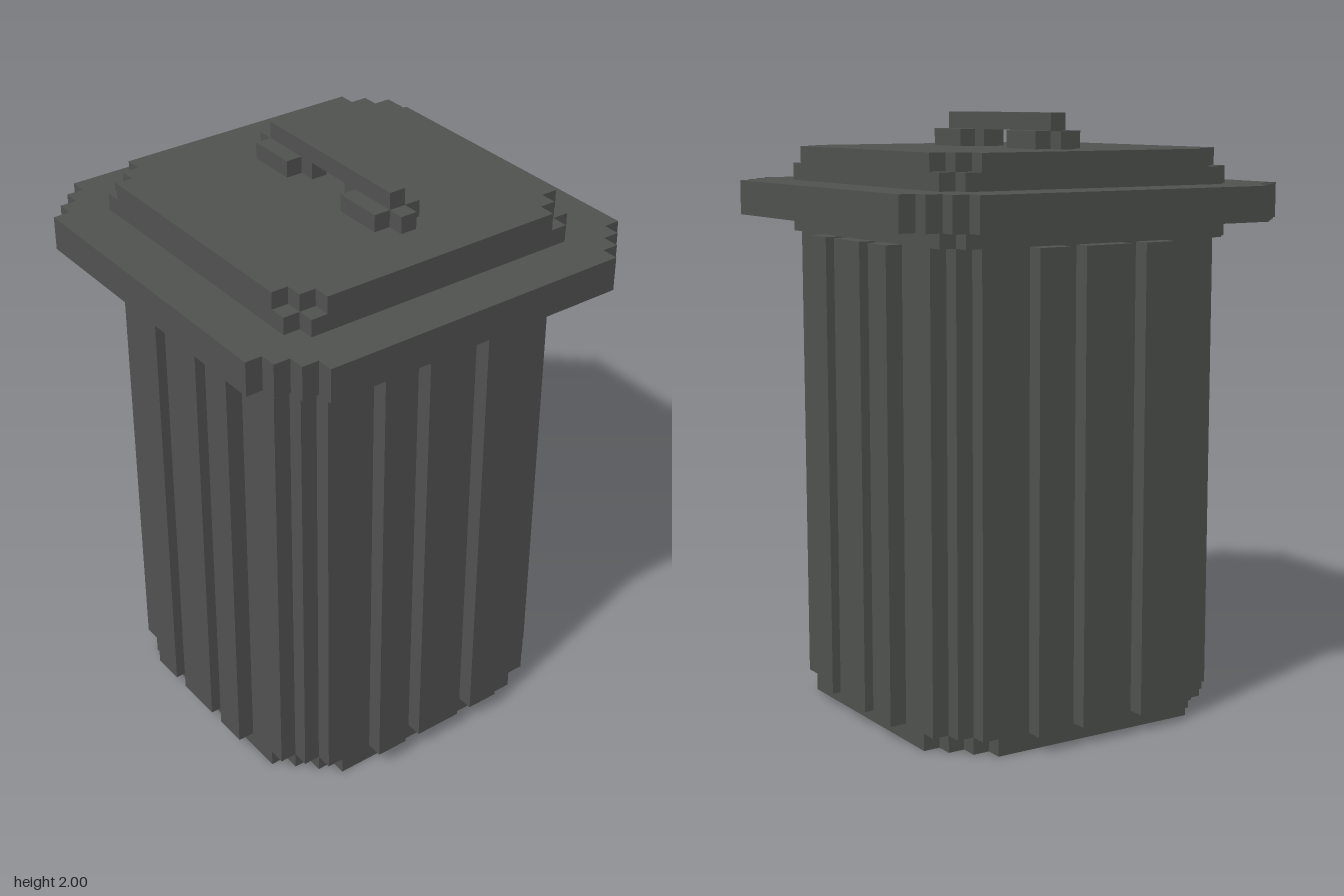
import * as THREE from 'three';

const U = 2 / 35; // one block

// Full stepped outline from one eighth: mirrored across the diagonal, then turned four times.
function outline(eighth) {
  const quarter = [...eighth];
  for (const [a, b] of [...eighth].reverse()) if (a !== b) quarter.push([b, a]);
  const pts = [];
  for (let k = 0; k < 4; k++) {
    for (const [a, b] of quarter) {
      const [x, y] = [[a, b], [-b, a], [-a, -b], [b, -a]][k];
      pts.push(new THREE.Vector2(x * U, y * U));
    }
  }
  return pts;
}

export function createModel() {
  const model = new THREE.Group();
  const material = new THREE.MeshStandardMaterial({ color: 0x505250, flatShading: true });

  const add = (name, geometry) => {
    const mesh = new THREE.Mesh(geometry, material);
    mesh.name = name;
    model.add(mesh);
    return mesh;
  };

  // Horizontal slab between two block heights, with an optional hole
  const slab = (name, y0, y1, eighth, hole) => {
    const shape = new THREE.Shape(outline(eighth));
    if (hole) shape.holes.push(new THREE.Path(outline(hole)));
    const geometry = new THREE.ExtrudeGeometry(shape, { depth: (y1 - y0) * U, bevelEnabled: false });
    geometry.rotateX(-Math.PI / 2);
    geometry.translate(0, y0 * U, 0);
    add(name, geometry);
  };

  const block = (name, w, h, d, y, z) =>
    add(name, new THREE.BoxGeometry(w * U, h * U, d * U)).position.set(0, y * U, z * U);

  // Foot ring with a recess underneath
  slab('base', 0, 1,
    [[9.5, 6.5], [8.5, 6.5], [8.5, 7.5], [7.5, 7.5]],
    [[5.5, 3.5], [4.5, 3.5], [4.5, 4.5]]);

  // Ribbed bin body
  slab('ribbedBody', 1, 28, [
    [10.5, 1.5], [9.5, 1.5], [9.5, 2.5], [10.5, 2.5], [10.5, 4.5],
    [9.5, 4.5], [9.5, 7.5], [8.5, 7.5], [8.5, 8.5],
  ]);
  slab('neck', 28, 29, [[9.5, 8.5], [8.5, 8.5]]);

  // Lid
  slab('lidRim', 29, 31, [[12.5, 9.5], [11.5, 9.5], [11.5, 10.5], [10.5, 10.5]]);
  slab('lidLower', 31, 32, [[9.5, 8.5], [8.5, 8.5]]);
  slab('lidTop', 32, 33, [[9.5, 7.5], [8.5, 7.5], [8.5, 8.5]]);

  // Handle: two wide feet, narrow ends and a bar across
  for (const s of [1, -1]) {
    block('handleFoot', 3, 1, 3, 33.5, s * 4);
    block('handleOuterEnd', 1, 1, 1, 33.5, s * 6);
    block('handleInnerEnd', 1, 1, 1, 33.5, s * 2);
  }
  block('handleBar', 1, 1, 11, 34.5, 0);

  return model;
}
